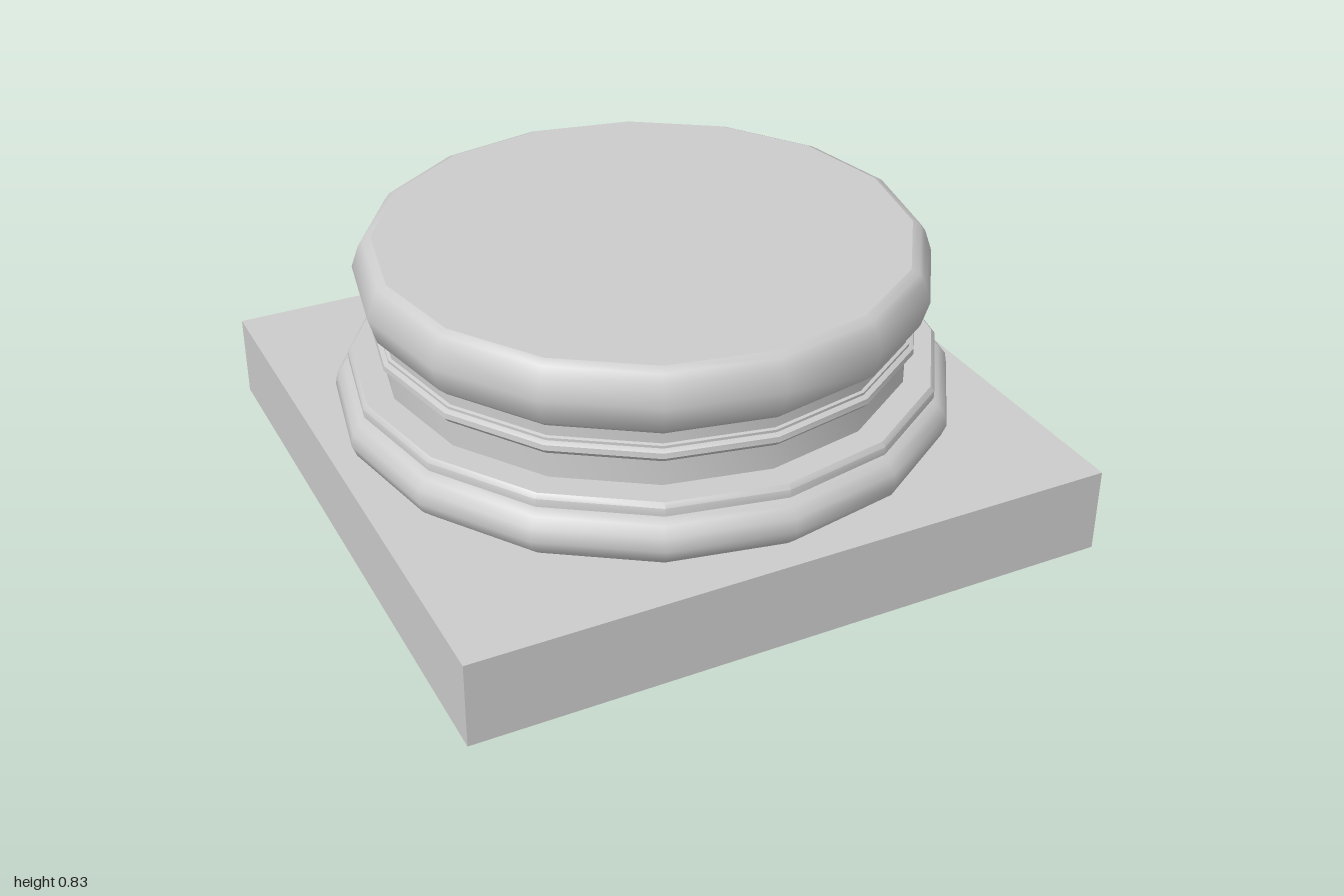
import * as THREE from 'three';
import { toCreasedNormals } from 'three/addons/utils/BufferGeometryUtils.js';

const SIDES = 16;
const material = new THREE.MeshStandardMaterial({ color: 0xcccccc });

// Turned moulding from [radius, height] pairs, listed bottom to top.
function turned(name, profile) {
  const points = profile.map(([r, y]) => new THREE.Vector2(r, y));
  const geometry = toCreasedNormals(new THREE.LatheGeometry(points, SIDES), 0.75);
  const mesh = new THREE.Mesh(geometry, material);
  mesh.name = name;
  return mesh;
}

export function createModel() {
  const group = new THREE.Group();
  group.name = 'columnBase';

  // Square slab
  const plinth = new THREE.Mesh(new THREE.BoxGeometry(2, 0.265, 2), material);
  plinth.name = 'plinth';
  plinth.position.y = 0.1325;
  group.add(plinth);

  group.add(
    // Wide rounded ring on the slab
    turned('lowerTorus', [
      [0.90, 0.265], [0.936, 0.297], [0.95, 0.333], [0.943, 0.372], [0.92, 0.398], [0.89, 0.412], [0.78, 0.412],
    ]),
    // Thin band above it
    turned('lowerFillet', [
      [0.89, 0.412], [0.905, 0.42], [0.905, 0.445], [0.893, 0.458], [0.78, 0.458],
    ]),
    // Recessed drum
    turned('neck', [[0.81, 0.44], [0.81, 0.64]]),
    // Small bead around the drum
    turned('bead', [
      [0.80, 0.538], [0.822, 0.543], [0.835, 0.558], [0.833, 0.574], [0.82, 0.582], [0.82, 0.59], [0.80, 0.594],
    ]),
    // Rounded ring with a flat top
    turned('upperTorus', [
      [0.78, 0.63], [0.82, 0.63], [0.848, 0.655], [0.872, 0.735], [0.85, 0.8], [0.835, 0.822], [0.81, 0.833],
    ]),
    turned('topFace', [[0.81, 0.833], [0, 0.833]]),
  );
  return group;
}
